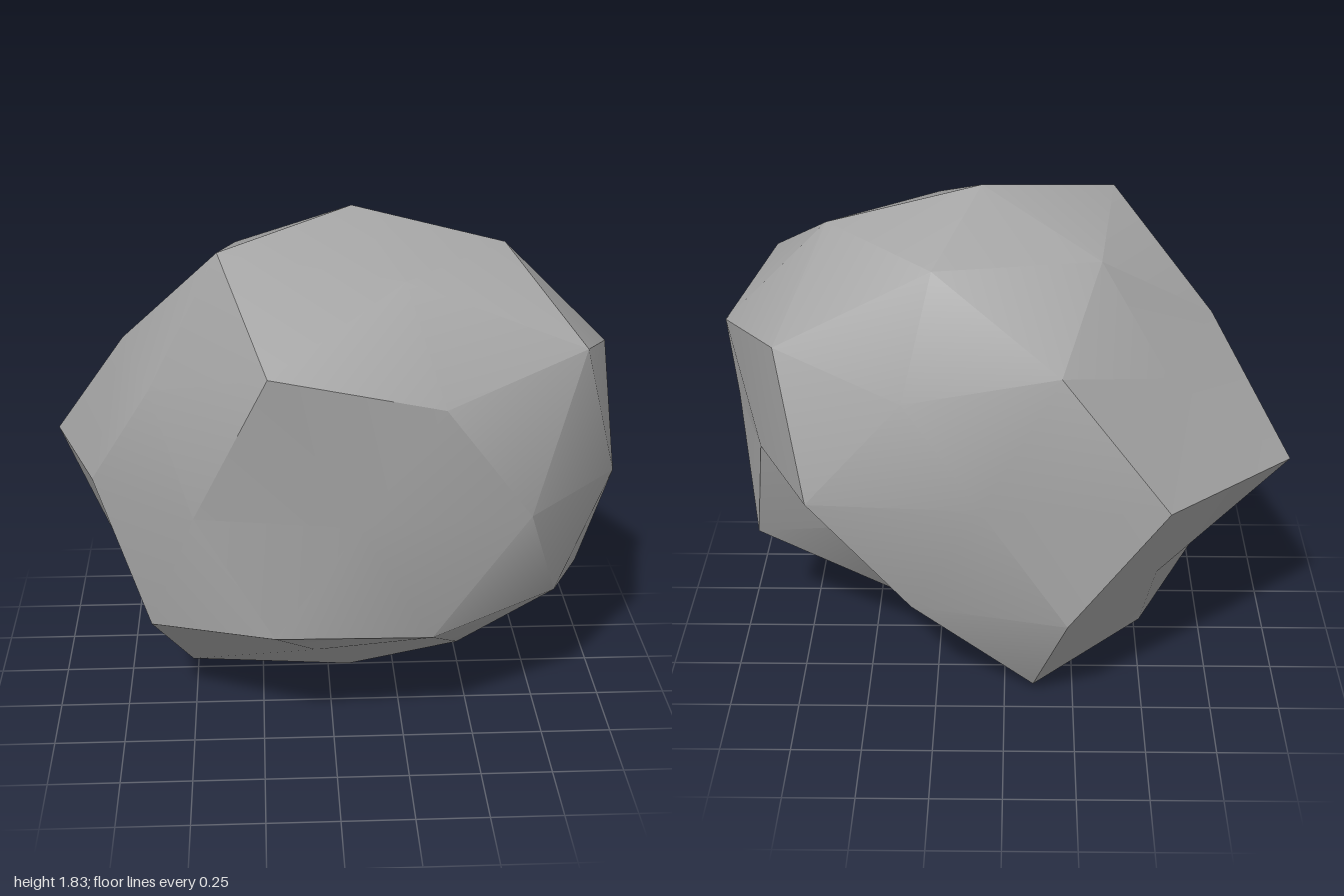
import * as THREE from 'three';
import { toCreasedNormals } from 'three/addons/utils/BufferGeometryUtils.js';

const CENTRE = new THREE.Vector3(0.08, 0.91, 0);
const STRETCH = new THREE.Vector3(1, 0.9, 0.722);

// One ring of points on a squashed sphere: height, first longitude, and a radius factor per point.
function ring(height, startDegrees, radii) {
  const width = Math.sqrt(1 - height * height);
  return radii.map((r, i) => {
    const a = THREE.MathUtils.degToRad(startDegrees + (i * 360) / radii.length);
    return new THREE.Vector3(width * Math.cos(a), height, width * Math.sin(a))
      .multiply(STRETCH).multiplyScalar(r);
  });
}

function boulderGeometry() {
  // Rings from the top down
  const [top] = ring(1, 0, [1.02]);
  const A = ring(0.8507, 0, [1.02, 0.99, 1.083, 0.95, 0.98]);
  const B = ring(0.4472, 0, [1.018, 1.01, 0.967, 0.88, 0.925]);
  const C = ring(0.5257, 36, [1.12, 1.145, 0.947, 1.02, 1.01]);
  const D = ring(0, 18, [0.972, 0.99, 0.89, 0.945, 0.967, 1.138, 1.085, 0.86, 1.0, 0.83]);
  const E = ring(-0.4472, 36, [0.98, 1.04, 0.95, 1.085, 0.71]);
  const F = ring(-0.5257, 0, [1.005, 0.98, 1.05, 0.91, 0.93]);
  const G = ring(-0.8507, 36, [0.915, 0.86, 1.138, 1.14, 0.8]);
  const [bottom] = ring(-1, 0, [1.01]);

  const positions = [];
  // Adds a triangle, turned so that it faces away from the centre
  const face = (a, b, c) => {
    const normal = b.clone().sub(a).cross(c.clone().sub(a));
    const corners = normal.dot(a) > 0 ? [a, b, c] : [a, c, b];
    for (const p of corners) positions.push(...p.clone().add(CENTRE).toArray());
  };

  for (let k = 0; k < 5; k++) {
    const n = (k + 1) % 5;
    const d0 = D[(2 * k + 9) % 10], d1 = D[2 * k], d2 = D[2 * k + 1];
    // Cap
    face(top, A[k], A[n]);
    face(A[k], B[k], C[k]);
    face(A[k], C[k], A[n]);
    face(C[k], B[n], A[n]);
    // Waist
    face(B[k], d0, d1);
    face(B[k], d1, C[k]);
    face(C[k], d1, d2);
    face(C[k], d2, B[n]);
    face(E[k], d1, d2);
    face(F[k], E[k], d1);
    face(F[k], d0, d1);
    face(F[n], E[k], d2);
    // Base
    face(bottom, G[k], G[n]);
    face(G[k], E[k], F[n]);
    face(G[k], F[n], G[n]);
    face(G[n], F[n], E[n]);
  }

  const geometry = new THREE.BufferGeometry();
  geometry.setAttribute('position', new THREE.Float32BufferAttribute(positions, 3));
  return toCreasedNormals(geometry, THREE.MathUtils.degToRad(30));
}

export function createModel() {
  const stone = new THREE.MeshStandardMaterial({ color: 0xa3a3a3 });
  stone.name = 'stone grey';

  const boulder = new THREE.Mesh(boulderGeometry(), stone);
  boulder.name = 'boulder';

  const model = new THREE.Group();
  model.name = 'rock';
  model.add(boulder);
  return model;
}
